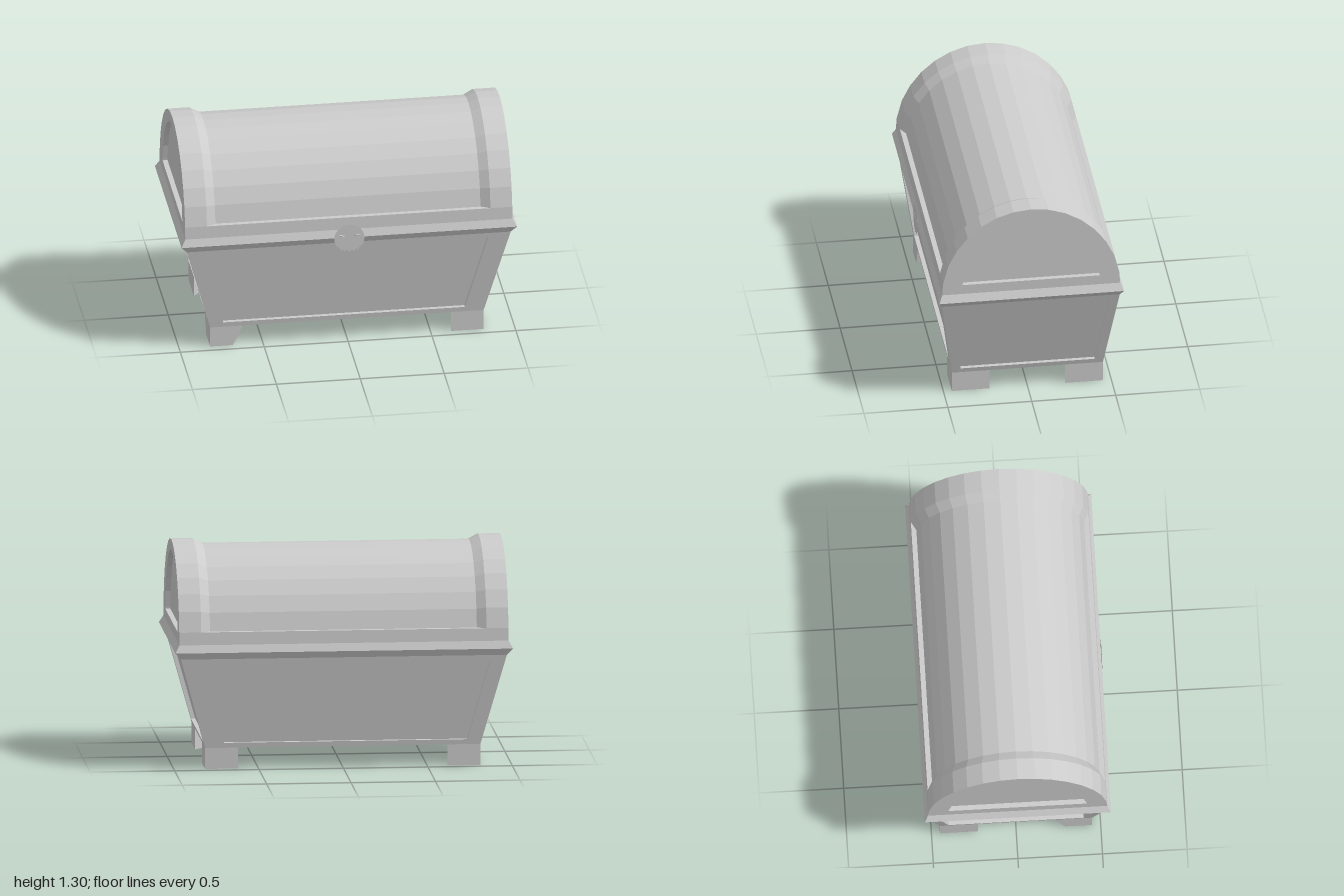
import * as THREE from 'three';

const material = new THREE.MeshStandardMaterial({ color: 0xcccccc, flatShading: true });
const plateMaterial = new THREE.MeshStandardMaterial({ color: 0xcccccc, flatShading: true, side: THREE.DoubleSide });

// Collects triangles and quads (corners counter-clockwise from outside) into one mesh.
class Faces {
  constructor() { this.data = []; }
  tri(...corners) { corners.forEach((p) => this.data.push(...p)); }
  quad(a, b, c, d) { this.tri(a, b, c); this.tri(a, c, d); }
  // Frame between two loops, with a panel sunk by the given offset.
  sunkPanel(outer, inner, offset) {
    const deep = inner.map((p) => p.map((v, k) => v + offset[k]));
    outer.forEach((p, i) => {
      const j = (i + 1) % outer.length;
      this.quad(p, outer[j], inner[j], inner[i]);
      this.quad(inner[i], inner[j], deep[j], deep[i]);
      if (i > 0 && j > 0) this.tri(deep[0], deep[i], deep[j]);
    });
  }
  mesh(name) {
    const geometry = new THREE.BufferGeometry();
    geometry.setAttribute('position', new THREE.Float32BufferAttribute(this.data, 3));
    geometry.computeVertexNormals();
    const mesh = new THREE.Mesh(geometry, material);
    mesh.name = name;
    return mesh;
  }
}

// Turn a point drawn on a wall facing +z onto each of the four walls.
const walls = {
  front: (u, y, w) => [u, y, w],
  right: (u, y, w) => [w, y, -u],
  back: (u, y, w) => [-u, y, -w],
  left: (u, y, w) => [-w, y, u],
};

// Half sizes of the chest at each height: floor, under rim, rim edge, lid seat.
const levels = [
  { y: 0.125, x: 0.815, z: 0.45 },
  { y: 0.67, x: 0.965, z: 0.53 },
  { y: 0.71, x: 1.0, z: 0.55 },
  { y: 0.755, x: 0.975, z: 0.53 },
];

// Lid arch as [z, y] points from front to back; the feet sit level on footY.
function arch(rz, ry, footY) {
  const points = [];
  for (let i = 1; i <= 15; i++) {
    const a = (i * Math.PI) / 16;
    const y = i === 1 || i === 15 ? footY : 0.73 + ry * Math.sin(a);
    points.push([rz * Math.cos(a), y]);
  }
  return points;
}

function createBody() {
  const body = new Faces();
  const [low, high] = levels;
  for (const [side, place] of Object.entries(walls)) {
    const long = side === 'front' || side === 'back';
    const [along, out] = long ? ['x', 'z'] : ['z', 'x'];
    const shift = { front: -0.0175, back: 0.0175 }[side] ?? 0;
    const [uLow, uHigh] = long ? [0.72, 0.848] : [0.4, 0.47];
    const depthAt = (y) => low[out] + ((high[out] - low[out]) * (y - low.y)) / (high.y - low.y);
    const trapezoid = (y0, u0, y1, u1, s) => [
      place(s - u0, y0, depthAt(y0)), place(s + u0, y0, depthAt(y0)),
      place(s + u1, y1, depthAt(y1)), place(s - u1, y1, depthAt(y1)),
    ];
    body.sunkPanel(
      trapezoid(low.y, low[along], high.y, high[along], 0),
      trapezoid(0.155, uLow, 0.637, uHigh, shift),
      place(0, 0, -0.025),
    );
  }
  return body.mesh('body');
}

function createRim() {
  const rim = new Faces();
  for (const [side, place] of Object.entries(walls)) {
    const [along, out] = side === 'front' || side === 'back' ? ['x', 'z'] : ['z', 'x'];
    for (let i = 1; i < 3; i++) {
      const a = levels[i], b = levels[i + 1];
      rim.quad(place(-a[along], a.y, a[out]), place(a[along], a.y, a[out]),
        place(b[along], b.y, b[out]), place(-b[along], b.y, b[out]));
    }
  }
  return rim.mesh('rim');
}

function createLid() {
  const lid = new Faces();
  const outer = arch(0.535, 0.57, 0.83);
  const inner = arch(0.505, 0.54, 0.83);
  // Barrel top: raised bands at both ends, lower in the middle
  const stations = [[-0.975, outer], [-0.845, outer], [-0.79, inner], [0.79, inner], [0.845, outer], [0.975, outer]];
  for (let s = 0; s < stations.length - 1; s++) {
    const [x0, a] = stations[s], [x1, b] = stations[s + 1];
    for (let i = 0; i < 14; i++) {
      const at = (x, [z, y]) => [x, y, z];
      lid.quad(at(x0, a[i]), at(x1, b[i]), at(x1, b[i + 1]), at(x0, a[i + 1]));
    }
  }
  // Lower band and the ledge under the barrel
  for (const place of [walls.front, walls.back]) {
    const z = outer[0][0], zi = inner[0][0];
    lid.quad(place(-0.975, 0.755, 0.53), place(0.975, 0.755, 0.53), place(0.975, 0.83, z), place(-0.975, 0.83, z));
    lid.quad(place(-0.845, 0.83, z), place(0.845, 0.83, z), place(0.79, 0.83, zi), place(-0.79, 0.83, zi));
  }
  // Arched ends with sunk panels
  const panel = arch(0.415, 0.505, 0.828);
  for (const place of [walls.right, walls.left]) {
    const loop = (points, half, y) =>
      [[-half, y], [half, y], ...points].map(([u, v]) => place(u, v, 0.975));
    lid.sunkPanel(loop(outer, 0.53, 0.755), loop(panel, 0.409, 0.815), place(0, 0, -0.03));
  }
  return lid.mesh('lid');
}

function createUnderside() {
  const floor = new Faces();
  const outline = [[-0.62, -0.45], [0.62, -0.45], [0.815, -0.225], [0.815, 0.225],
    [0.62, 0.45], [-0.62, 0.45], [-0.815, 0.225], [-0.815, -0.225]];
  floor.sunkPanel(
    outline.map(([x, z]) => [x, 0.125, z]),
    outline.map(([x, z]) => [x * 0.955, 0.125, z * 0.925]),
    [0, 0.03, 0],
  );
  return floor.mesh('underside');
}

// Three-sided corner foot; the tapered one is narrower at the ground.
function createFoot(sx, sz, tapered) {
  const foot = new Faces();
  const loop = (y, x, z) => {
    const points = [[x, 0.45], [0.815, 0.45], [0.815, z]].map(([px, pz]) => [px * sx, y, pz * sz]);
    return sx * sz > 0 ? points : points.reverse();
  };
  const top = loop(0.125, 0.62, 0.225);
  const base = tapered ? loop(0, 0.68, 0.29) : loop(0, 0.62, 0.225);
  for (let i = 0; i < 3; i++) {
    const j = (i + 1) % 3;
    foot.quad(base[i], base[j], top[j], top[i]);
  }
  foot.tri(base[2], base[1], base[0]);
  return foot.mesh('foot');
}

function createClasp() {
  const clasp = new THREE.Group();
  clasp.name = 'clasp';
  // Round plate with a toothed lower edge
  const points = [];
  for (let i = 0; i <= 16; i++) {
    const a = THREE.MathUtils.degToRad(-30 + i * 15);
    points.push(new THREE.Vector2(0.09 * Math.cos(a), 0.705 + 0.09 * Math.sin(a)));
  }
  const teeth = [[-0.06, 0.645], [-0.052, 0.626], [-0.04, 0.638], [-0.03, 0.617], [-0.015, 0.632], [0, 0.616]];
  teeth.forEach(([x, y]) => points.push(new THREE.Vector2(x, y)));
  teeth.slice(0, -1).reverse().forEach(([x, y]) => points.push(new THREE.Vector2(-x, y)));
  const plate = new THREE.Mesh(new THREE.ShapeGeometry(new THREE.Shape(points)), plateMaterial);
  plate.position.z = 0.552;
  plate.name = 'claspPlate';
  clasp.add(plate);
  // Slanted ridges
  for (const side of [-1, 1]) {
    const ridge = new THREE.Mesh(new THREE.OctahedronGeometry(1), material);
    ridge.scale.set(0.026, 0.007, 0.006);
    ridge.position.set(side * 0.047, 0.724, 0.551);
    ridge.rotation.z = side * 0.2;
    ridge.name = 'claspRidge';
    clasp.add(ridge);
  }
  return clasp;
}

export function createModel() {
  const chest = new THREE.Group();
  chest.name = 'chest';
  chest.add(createBody(), createRim(), createLid(), createUnderside(), createClasp());
  for (const sx of [-1, 1]) {
    for (const sz of [-1, 1]) chest.add(createFoot(sx, sz, sx < 0 && sz > 0));
  }
  return chest;
}
